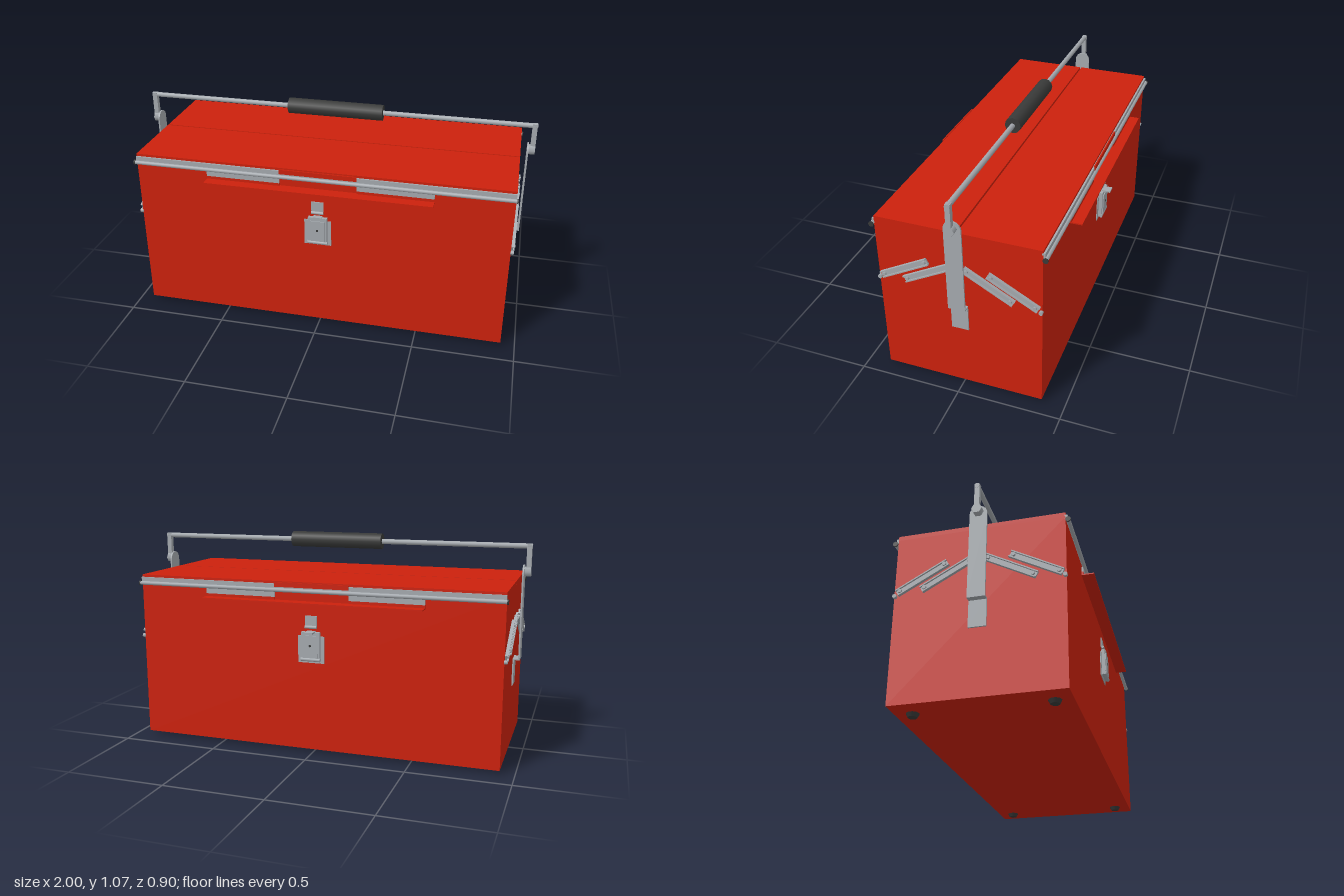
import * as THREE from 'three';

const mat = (name, color) => {
  const m = new THREE.MeshStandardMaterial({ color, side: THREE.DoubleSide });
  m.name = name;
  return m;
};

export function createModel() {
  const red = mat('red paint', 0xcc210c);
  const steel = mat('steel', 0xa4a9ae);
  const rubber = mat('black rubber', 0x393a39);
  const root = new THREE.Group();
  root.name = 'toolbox';

  const add = (parent, name, geometry, material, x = 0, y = 0, z = 0) => {
    const m = new THREE.Mesh(geometry, material);
    m.name = name;
    m.position.set(x, y, z);
    parent.add(m);
    return m;
  };
  // Box given by its min and max on each axis
  const box = (parent, name, material, x0, x1, y0, y1, z0, z1) =>
    add(parent, name, new THREE.BoxGeometry(x1 - x0, y1 - y0, z1 - z0), material,
      (x0 + x1) / 2, (y0 + y1) / 2, (z0 + z1) / 2);
  // Cylinder lying along the given axis
  const rod = (parent, name, material, axis, r, len, x, y, z, sides = 10) => {
    const g = new THREE.CylinderGeometry(r, r, len, sides);
    if (axis === 'x') g.rotateZ(Math.PI / 2);
    if (axis === 'z') g.rotateX(Math.PI / 2);
    return add(parent, name, g, material, x, y, z);
  };

  // Body with two lid halves meeting at a centre groove
  box(root, 'body', red, -0.93, 0.93, 0.018, 0.84, -0.39, 0.39);
  for (const s of [1, -1])
    add(root, 'lid', new THREE.BoxGeometry(1.86, 0.022, 0.386), red, 0, 0.851, s * 0.197);

  // Rubber feet
  for (const x of [-0.825, 0.825])
    for (const z of [-0.31, 0.31])
      add(root, 'foot', new THREE.CylinderGeometry(0.031, 0.021, 0.02, 10), rubber, x, 0.01, z);

  // Long faces: hinge strip, lip and latch, repeated by a half turn
  for (const turn of [0, Math.PI]) {
    const face = new THREE.Group();
    face.name = turn ? 'backFittings' : 'frontFittings';
    face.rotation.y = turn;
    root.add(face);

    box(face, 'lip', red, -0.56, 0.56, 0.764, 0.77, 0.385, 0.45);
    box(face, 'hingeLeaf', steel, -0.93, 0.93, 0.826, 0.85, 0.385, 0.399);
    rod(face, 'hingePin', steel, 'x', 0.01, 1.872, 0, 0.82, 0.402, 8);
    for (const s of [1, -1]) {
      add(face, 'lowerHingeLeaf', new THREE.BoxGeometry(0.37, 0.026, 0.008), steel, s * 0.375, 0.797, 0.395);
      add(face, 'lidFlap', new THREE.BoxGeometry(0.37, 0.014, 0.008), red, s * 0.375, 0.777, 0.395);
      rod(face, 'pinHead', rubber, 'x', 0.013, 0.006, s * 0.936, 0.82, 0.402, 8);
    }
    box(face, 'middleFlap', red, -0.19, 0.19, 0.835, 0.858, 0.396, 0.403);

    // Latch
    box(face, 'latchPlate', steel, -0.07, 0.065, 0.465, 0.6, 0.388, 0.394);
    box(face, 'latchLever', steel, -0.047, 0.047, 0.478, 0.622, 0.394, 0.412);
    box(face, 'latchPanel', steel, -0.036, 0.036, 0.495, 0.605, 0.412, 0.417);
    rod(face, 'latchHinge', steel, 'x', 0.009, 0.1, 0, 0.485, 0.409, 8);
    rod(face, 'keyhole', rubber, 'z', 0.006, 0.004, 0, 0.555, 0.417, 8);
    box(face, 'latchTab', steel, -0.022, 0.022, 0.618, 0.626, 0.39, turn ? 0.445 : 0.415);
    box(face, 'latchHook', steel, -0.033, 0.028, 0.645, 0.7, 0.388, 0.396);
    rod(face, 'hookRoll', steel, 'x', 0.008, 0.06, -0.002, 0.645, 0.4, 8);
  }

  // Strap outline with a rounded top
  const strap = new THREE.Shape();
  strap.moveTo(-0.041, 0.47);
  strap.lineTo(0.041, 0.47);
  strap.lineTo(0.041, 0.9);
  strap.absarc(0, 0.9, 0.041, 0, Math.PI, false);
  strap.closePath();

  // Short ends: strap, folding arms and handle drop
  for (const turn of [0, Math.PI]) {
    const end = new THREE.Group();
    end.name = turn ? 'rightEnd' : 'leftEnd';
    end.rotation.y = turn;
    root.add(end);

    box(end, 'strapFoot', steel, 0.928, 0.937, 0.34, 0.475, -0.041, 0.041);
    box(end, 'strapStep', steel, 0.93, 0.965, 0.47, 0.476, -0.041, 0.041);
    const g = new THREE.ExtrudeGeometry(strap, { depth: 0.008, bevelEnabled: false, curveSegments: 8 });
    g.rotateY(Math.PI / 2);
    add(end, 'strap', g, steel, 0.957, 0, 0);

    // Channel-shaped folding arms with rivets
    for (const s of [1, -1]) {
      for (const [z, y] of [[0.145, 0.62], [0.259, 0.617]]) {
        const arm = new THREE.Group();
        arm.name = 'foldingArm';
        arm.position.set(0.934, y, s * z);
        arm.rotation.x = s * 0.5;
        end.add(arm);
        box(arm, 'armWeb', steel, -0.004, 0.004, -0.016, 0.016, -0.132, 0.132);
        for (const e of [1, -1]) {
          add(arm, 'armRim', new THREE.BoxGeometry(0.014, 0.006, 0.264), steel, 0.005, e * 0.014, 0);
          rod(arm, 'rivet', steel, 'x', 0.009, 0.016, 0.006, 0, e * 0.115, 8);
        }
      }
      rod(end, 'armPivot', steel, 'x', 0.01, 0.016, 0.936, 0.54, s * 0.385, 8);
    }

    // Handle drop and its pivot bolt
    box(end, 'handleDrop', steel, 0.972, 0.996, 0.895, 1.042, -0.012, 0.012);
    rod(end, 'pivotBolt', steel, 'x', 0.025, 0.034, 0.979, 0.908, 0, 6);
  }

  // Carrying handle
  rod(root, 'handleBar', steel, 'x', 0.013, 1.996, 0, 1.032, 0, 8);
  rod(root, 'grip', rubber, 'x', 0.04, 0.486, -0.002, 1.033, 0, 12);

  return root;
}
